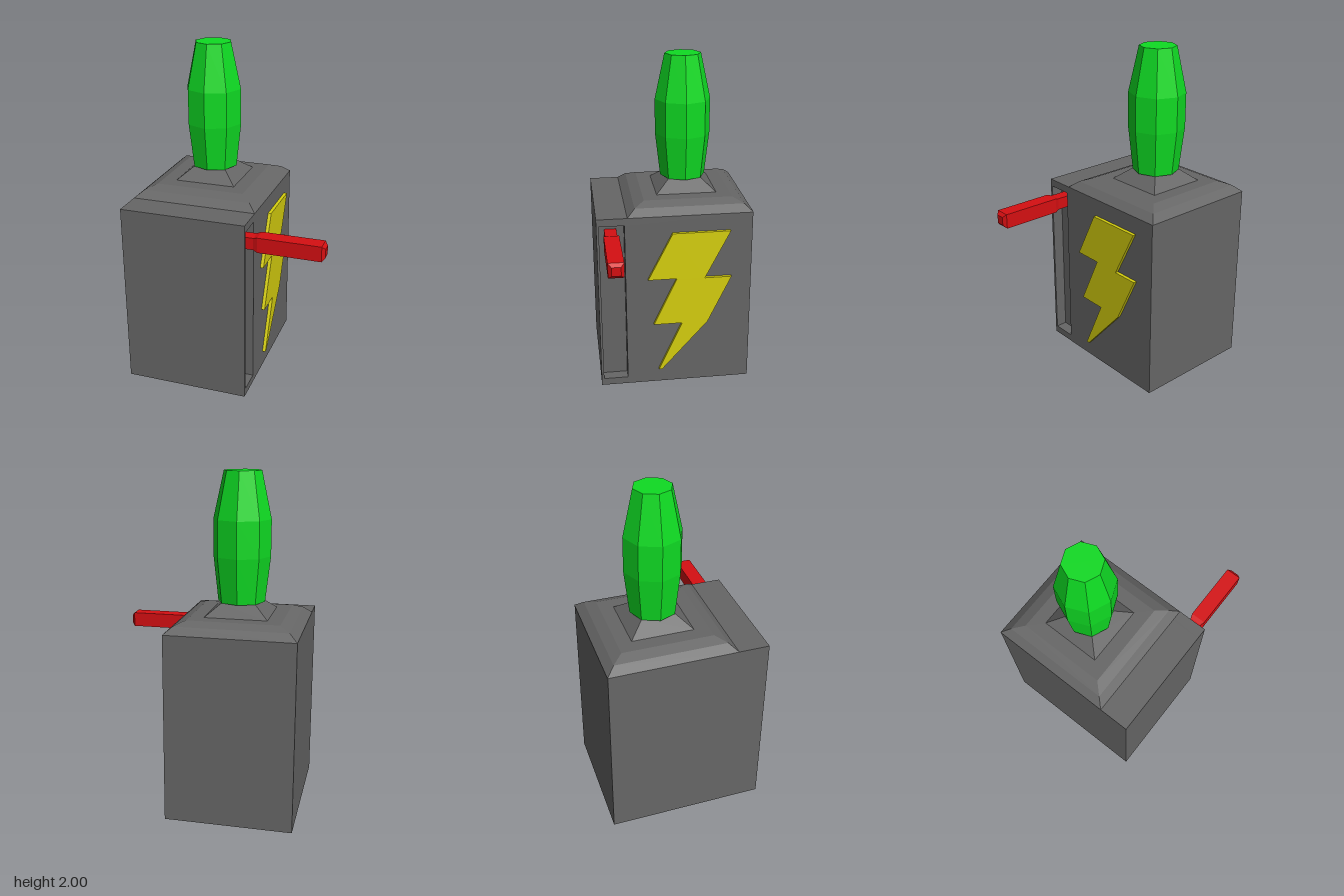
import * as THREE from 'three';

const flat = (name, color) => {
  const m = new THREE.MeshStandardMaterial({ color, flatShading: true });
  m.name = name;
  return m;
};

// Faceted solid: rings of [distance from axis to face or corner, height], bottom to top.
function faceted(rings, sides) {
  const k = sides === 4 ? Math.SQRT2 : 1;
  const points = rings.map(([r, y]) => new THREE.Vector2(r * k, y));
  const geo = new THREE.LatheGeometry(points, sides, sides === 4 ? Math.PI / 4 : 0).toNonIndexed();
  geo.computeVertexNormals();
  return geo;
}

// Outline in (-z, y), extruded along +x from x0.
function sidePlate(shape, x0, depth) {
  return new THREE.ExtrudeGeometry(shape, { depth, bevelEnabled: false })
    .rotateY(Math.PI / 2).translate(x0, 0, 0);
}

const outline = (pts) => pts.map(([z, y]) => new THREE.Vector2(-z, y));

export function createModel() {
  const group = new THREE.Group();
  const gray = flat('gray metal', 0x666666);
  const green = flat('green', 0x0fdb23);
  const yellow = flat('yellow', 0xd6cf0e);
  const red = flat('red', 0xd60f12);

  const add = (name, geo, mat, x = 0, y = 0, z = 0) => {
    const mesh = new THREE.Mesh(geo, mat);
    mesh.name = name;
    mesh.position.set(x, y, z);
    group.add(mesh);
  };

  // Main box, stopping at the floor of the lever slot
  add('body', new THREE.BoxGeometry(0.68, 1.12, 0.93), gray, -0.26, 0.56, 0);

  // Side wall with the slot cut through it
  const wall = new THREE.Shape(outline([[0.465, 0], [-0.465, 0], [-0.465, 1.12], [0.465, 1.12]]));
  wall.holes.push(new THREE.Path(outline([[0.45, 0.045], [0.45, 1.075], [0.3, 1.075], [0.3, 0.045]])));
  add('slottedSide', sidePlate(wall, 0.08, 0.07), gray);

  // Stepped lid and bulb socket
  add('lid', faceted([[0.375, 1.12], [0.327, 1.16], [0.266, 1.185], [0, 1.186]], 4), gray, -0.225, 0, -0.092);
  add('socket', faceted([[0.182, 1.186], [0.1, 1.255], [0, 1.255]], 4), gray, -0.225, 0, -0.094);

  // Eight-sided bulb
  add('bulb', faceted([[0, 1.255], [0.138, 1.255], [0.168, 1.52], [0.168, 1.73], [0.109, 2], [0, 2]], 8),
    green, -0.225, 0, -0.094);

  // Lever reaching out of the slot
  const lever = faceted([[0, 0.08], [0.036, 0.08], [0.036, 0.185], [0.045, 0.21],
    [0.045, 0.575], [0.026, 0.593], [0, 0.593]], 4).rotateZ(-Math.PI / 2);
  add('lever', lever, red, 0, 0.995, 0.381);

  // Raised lightning bolt
  const bolt = new THREE.Shape(outline([
    [0.018, 1.016], [0.167, 0.722], [-0.008, 0.722], [0.135, 0.418], [-0.04, 0.418],
    [0.105, 0.098], [0.085, 0.098], [-0.198, 0.418], [-0.341, 0.717], [-0.177, 0.717], [-0.33, 1.016],
  ]));
  add('lightningBolt', sidePlate(bolt, 0.15, 0.02), yellow);

  return group;
}
